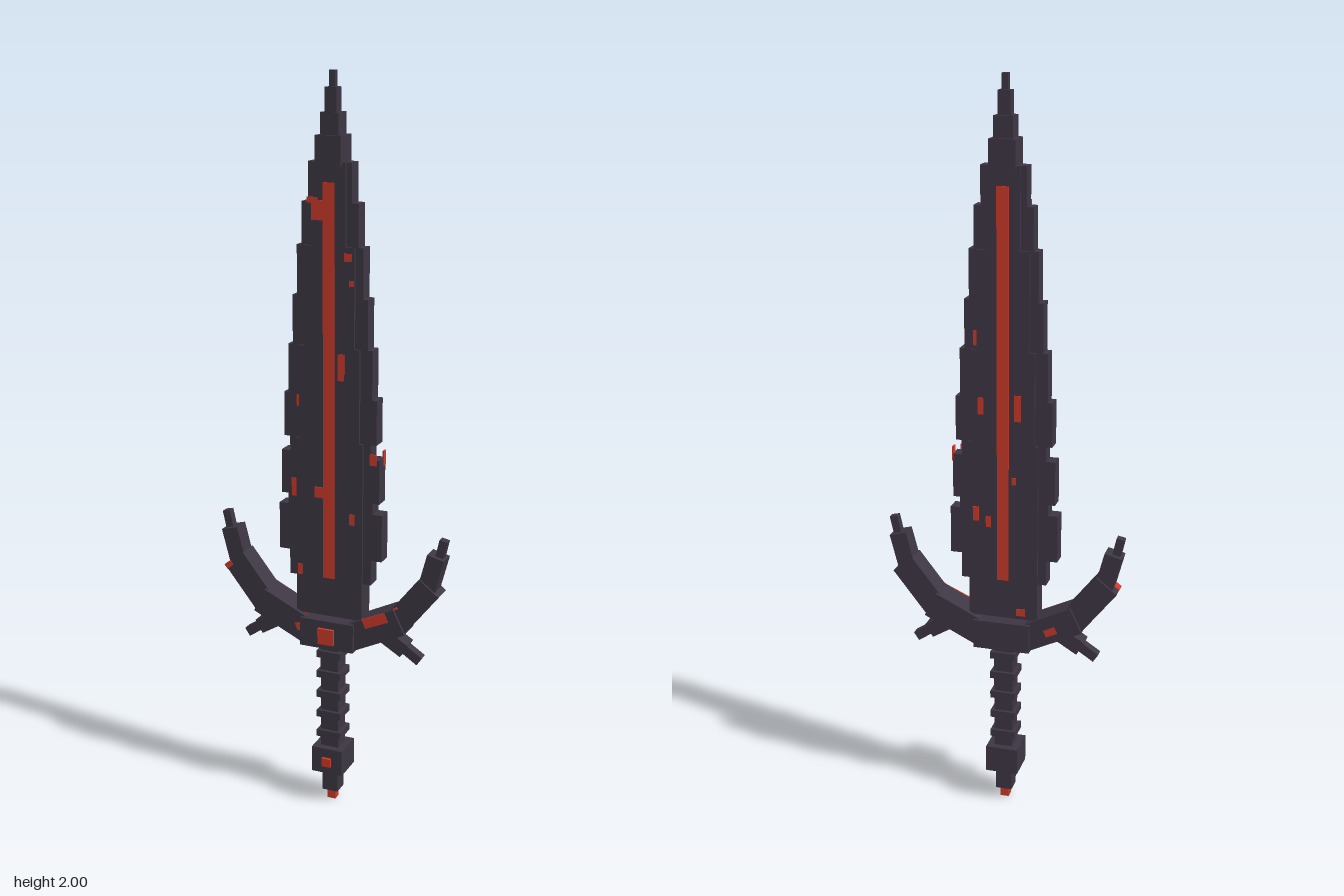
import * as THREE from 'three';

export function createModel() {
  const model = new THREE.Group();
  model.name = 'sword';
  const dark = new THREE.MeshStandardMaterial({ name: 'dark stone', color: 0x3d3643 });
  const red = new THREE.MeshStandardMaterial({ name: 'glowing red', color: 0xcc3a2a });
  const Z = -0.005; // middle plane of the sword

  // Box given by centre x, bottom, top, half width and half depth
  function block(name, x, y0, y1, hw, hd, mat = dark, z = Z) {
    const mesh = new THREE.Mesh(new THREE.BoxGeometry(hw * 2, y1 - y0, hd * 2), mat);
    mesh.position.set(x, (y0 + y1) / 2, z);
    mesh.name = name;
    model.add(mesh);
    return mesh;
  }

  // Box laid along a line in the xy plane
  function bar(name, x0, y0, x1, y1, w, d, mat = dark, z = Z) {
    const length = Math.hypot(x1 - x0, y1 - y0);
    const mesh = new THREE.Mesh(new THREE.BoxGeometry(length, w, d), mat);
    mesh.position.set((x0 + x1) / 2, (y0 + y1) / 2, z);
    mesh.rotation.z = Math.atan2(y1 - y0, x1 - x0);
    mesh.name = name;
    model.add(mesh);
  }

  // Stepped blade: bottom, top, half width; a thin edge with a thicker core
  const steps = [
    [0.565, 0.67, 0.095], [0.67, 0.74, 0.118], [0.74, 0.87, 0.148],
    [0.87, 0.9, 0.122], [0.9, 1.02, 0.14], [1.02, 1.06, 0.115],
    [1.06, 1.18, 0.131], [1.18, 1.31, 0.118], [1.31, 1.44, 0.105],
    [1.44, 1.57, 0.092], [1.57, 1.68, 0.078], [1.68, 1.78, 0.06],
  ];
  for (const [y0, y1, w] of steps) block('bladeEdge', 0, y0, y1, w, 0.021);
  const core = [[0.565, 1.06, 0.095], [1.06, 1.31, 0.085], [1.31, 1.57, 0.07], [1.57, 1.78, 0.045]];
  for (const [y0, y1, w] of core) block('bladeCore', 0, y0, y1, w, 0.028);

  // Stepped point
  block('bladePoint', 0, 1.77, 1.845, 0.035, 0.035);
  block('bladePoint', 0, 1.845, 1.9, 0.025, 0.025);
  block('bladePoint', 0, 1.9, 1.96, 0.016, 0.016);
  block('bladePoint', 0, 1.96, 2, 0.008, 0.008);

  // Red fuller on both faces
  for (const s of [1, -1]) block('redFuller', 0, 0.675, 1.73, 0.016, 0.002, red, Z + s * 0.0285);

  // Red chips: x, y, width, height, surface depth, face
  const chips = [
    [-0.03, 1.66, 0.035, 0.05, 0.028, 1], [-0.045, 1.685, 0.03, 0.015, 0.028, 1],
    [0.052, 1.545, 0.02, 0.02, 0.028, 1], [0.062, 1.48, 0.01, 0.015, 0.028, 1],
    [0.034, 1.26, 0.018, 0.07, 0.028, 1], [-0.088, 1.16, 0.012, 0.03, 0.021, 1],
    [-0.103, 0.92, 0.015, 0.05, 0.021, 1], [-0.026, 0.915, 0.03, 0.03, 0.028, 1],
    [-0.085, 0.69, 0.012, 0.03, 0.028, 1], [0.066, 0.85, 0.016, 0.03, 0.028, 1],
    [0.122, 1.02, 0.018, 0.03, 0.021, 1],
    [0.075, 1.34, 0.012, 0.04, 0.021, -1], [0.06, 1.16, 0.016, 0.045, 0.028, -1],
    [-0.04, 1.16, 0.018, 0.07, 0.028, -1], [0.075, 0.86, 0.016, 0.04, 0.028, -1],
    [0.04, 0.84, 0.014, 0.03, 0.028, -1], [-0.03, 0.96, 0.012, 0.02, 0.028, -1],
    [-0.05, 0.585, 0.025, 0.02, 0.028, -1],
  ];
  for (const [x, y, w, h, d, s] of chips) {
    block('redChip', x, y - h / 2, y + h / 2, w / 2, 0.002, red, Z + s * (d + 0.0005));
  }
  block('redEdgeChip', 0.14, 1.0, 1.04, 0.002, 0.008, red, -0.018);

  // Guard
  block('guardCentre', 0, 0.475, 0.556, 0.078, 0.048);
  block('guardGem', 0, 0.49, 0.535, 0.023, 0.005, red, 0.046);
  for (const s of [1, -1]) {
    bar('guardInnerArm', s * 0.06, 0.513, s * 0.205, 0.583, 0.075, 0.078);
    bar('guardOuterArm', s * 0.185, 0.563, s * 0.285, 0.69, 0.07, 0.062);
    bar('guardHorn', s * 0.27, 0.66, s * 0.3, 0.775, 0.048, 0.05);
    bar('guardHornTip', s * 0.296, 0.73, s * 0.316, 0.82, 0.022, 0.022);
    bar('guardSpur', s * 0.14, 0.54, s * 0.215, 0.495, 0.042, 0.045);
    bar('guardSpurTip', s * 0.2, 0.505, s * 0.256, 0.468, 0.026, 0.026);
  }

  // Red patches on the guard
  bar('redGuardPatch', 0.105, 0.563, 0.17, 0.592, 0.028, 0.004, red, 0.0335);
  bar('redGuardPatch', -0.093, 0.522, -0.08, 0.528, 0.022, 0.004, red, 0.0335);
  bar('redGuardPatch', -0.296, 0.664, -0.305, 0.676, 0.022, 0.03, red, 0.013);
  bar('redGuardPatch', -0.15, 0.55, -0.12, 0.535, 0.02, 0.004, red, -0.0435);
  bar('redGuardTop', -0.073, 0.5615, -0.058, 0.5685, 0.004, 0.014, red, 0.015);
  bar('redGuardTop', 0.188, 0.616, 0.198, 0.622, 0.006, 0.03, red, 0.015);

  // Grip with rings
  block('grip', 0, 0.16, 0.48, 0.026, 0.026);
  for (let i = 0; i < 5; i++) block('gripRing', 0, 0.2 + i * 0.06, 0.22 + i * 0.06, 0.035, 0.035);

  // Pommel
  block('pommel', 0, 0.095, 0.17, 0.045, 0.045);
  block('pommelStem', 0, 0.03, 0.095, 0.023, 0.023);
  block('pommelTip', 0, 0, 0.03, 0.012, 0.012, red);
  block('pommelGem', 0, 0.118, 0.143, 0.013, 0.005, red, 0.043);

  return model;
}
